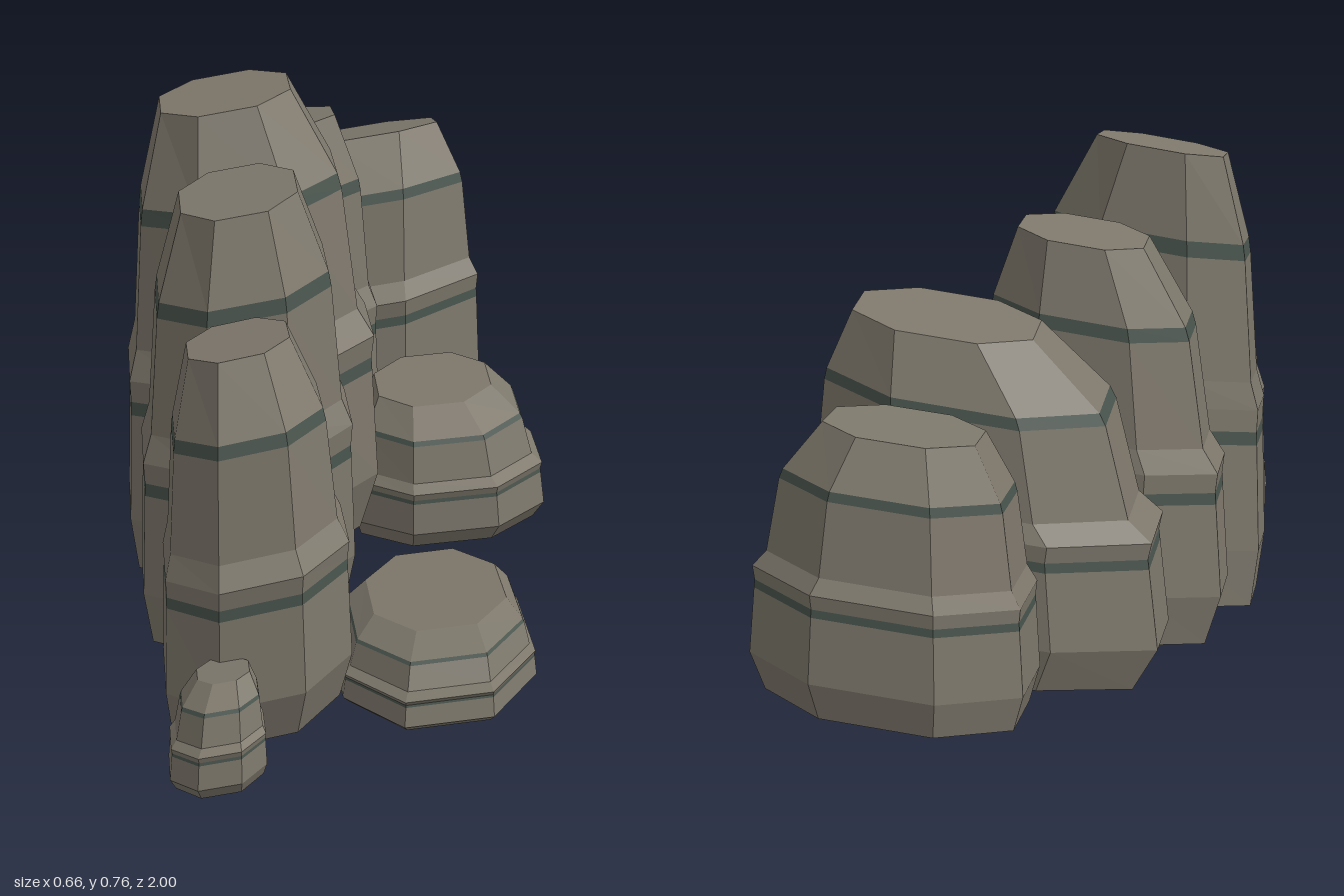
import * as THREE from 'three';

const stone = new THREE.MeshStandardMaterial({ color: 0x7d776b, flatShading: true });
stone.name = 'stone';
const seam = new THREE.MeshStandardMaterial({ color: 0x49544d, flatShading: true });
seam.name = 'dark seam';

// Each level: height fraction, how far the outline has moved from the widest outline to the cap
const LEVELS = [
  [0, 0.2], [0.13, 0], [0.37, 0.07], [0.4, 0.08], [0.45, 0.05],
  [0.51, 0.24], [0.78, 0.42], [0.815, 0.47], [1, 1],
];
const SEAMS = [2, 6]; // bands that are dark

// Rocks: widest outline and cap as [x0, x1, z0, z1], base and top height, slope along x and z
const ROCKS = [
  ['backRock', [-0.07, 0.3, -1, -0.61], [-0.005, 0.2, -0.94, -0.72], 0.05, 0.425, 0.14, 0.04],
  ['broadRock', [-0.22, 0.29, -0.68, -0.28], [-0.04, 0.22, -0.62, -0.41], 0.04, 0.535, 0.15, 0.17],
  ['middleRock', [-0.29, 0.09, -0.38, -0.04], [-0.17, 0.02, -0.34, -0.13], 0.035, 0.63, 0.16, 0.1],
  ['tallestRock', [-0.33, 0.06, -0.1, 0.28], [-0.27, -0.07, -0.085, 0.155], 0.034, 0.745, 0.17, 0],
  ['tallRock', [-0.315, 0, 0.22, 0.55], [-0.25, -0.08, 0.24, 0.47], 0.03, 0.675, 0.17, -0.04],
  ['frontRock', [-0.29, -0.03, 0.51, 0.86], [-0.25, -0.11, 0.53, 0.74], 0.025, 0.54, 0.2, 0.08],
  ['sideBoulder', [0.03, 0.33, -0.07, 0.22], [0.07, 0.25, -0.06, 0.13], 0.05, 0.265, 0.08, -0.1],
  ['flatSlab', [-0.04, 0.235, 0.41, 0.85], [0.01, 0.2, 0.44, 0.74], 0.035, 0.138, 0.1, 0.03],
  ['smallStone', [-0.29, -0.16, 0.83, 1], [-0.25, -0.18, 0.84, 0.93], 0.02, 0.155, 0.15, 0.06],
];

// Chamfered rectangle outline
const C = 0.45;
const OUTLINE = [[1, -C], [1, C], [C, 1], [-C, 1], [-1, C], [-1, -C], [-C, -1], [C, -1]];

function makeRock([name, wide, cap, y0, y1, slopeX, slopeZ]) {
  const rings = LEVELS.map(([t, w]) => {
    const [xa, xb, za, zb] = wide.map((v, i) => THREE.MathUtils.lerp(v, cap[i], w));
    const cx = (xa + xb) / 2, cz = (za + zb) / 2;
    return OUTLINE.map(([u, v]) => {
      const dx = u * (xb - xa) / 2, dz = v * (zb - za) / 2;
      return [cx + dx, y0 + (y1 - y0) * t + slopeX * dx + slopeZ * t * dz, cz + dz];
    });
  });

  const pos = [];
  const geo = new THREE.BufferGeometry();
  const n = OUTLINE.length;
  const tri = (a, b, c) => pos.push(...a, ...b, ...c);

  // Side bands between neighbouring rings
  for (let k = 0; k < rings.length - 1; k++) {
    const start = pos.length / 3;
    for (let i = 0; i < n; i++) {
      const j = (i + 1) % n, lo = rings[k], hi = rings[k + 1];
      tri(lo[i], hi[i], hi[j]);
      tri(lo[i], hi[j], lo[j]);
    }
    geo.addGroup(start, n * 6, SEAMS.includes(k) ? 1 : 0);
  }

  // Flat top and underside
  const start = pos.length / 3;
  const top = rings[rings.length - 1], base = rings[0];
  for (let i = 1; i < n - 1; i++) {
    tri(top[0], top[i + 1], top[i]);
    tri(base[0], base[i], base[i + 1]);
  }
  geo.addGroup(start, (n - 2) * 6, 0);

  geo.setAttribute('position', new THREE.Float32BufferAttribute(pos, 3));
  geo.computeVertexNormals();
  const mesh = new THREE.Mesh(geo, [stone, seam]);
  mesh.name = name;
  return mesh;
}

export function createModel() {
  const group = new THREE.Group();
  group.name = 'rockFormation';
  ROCKS.forEach((r) => group.add(makeRock(r)));
  return group;
}
